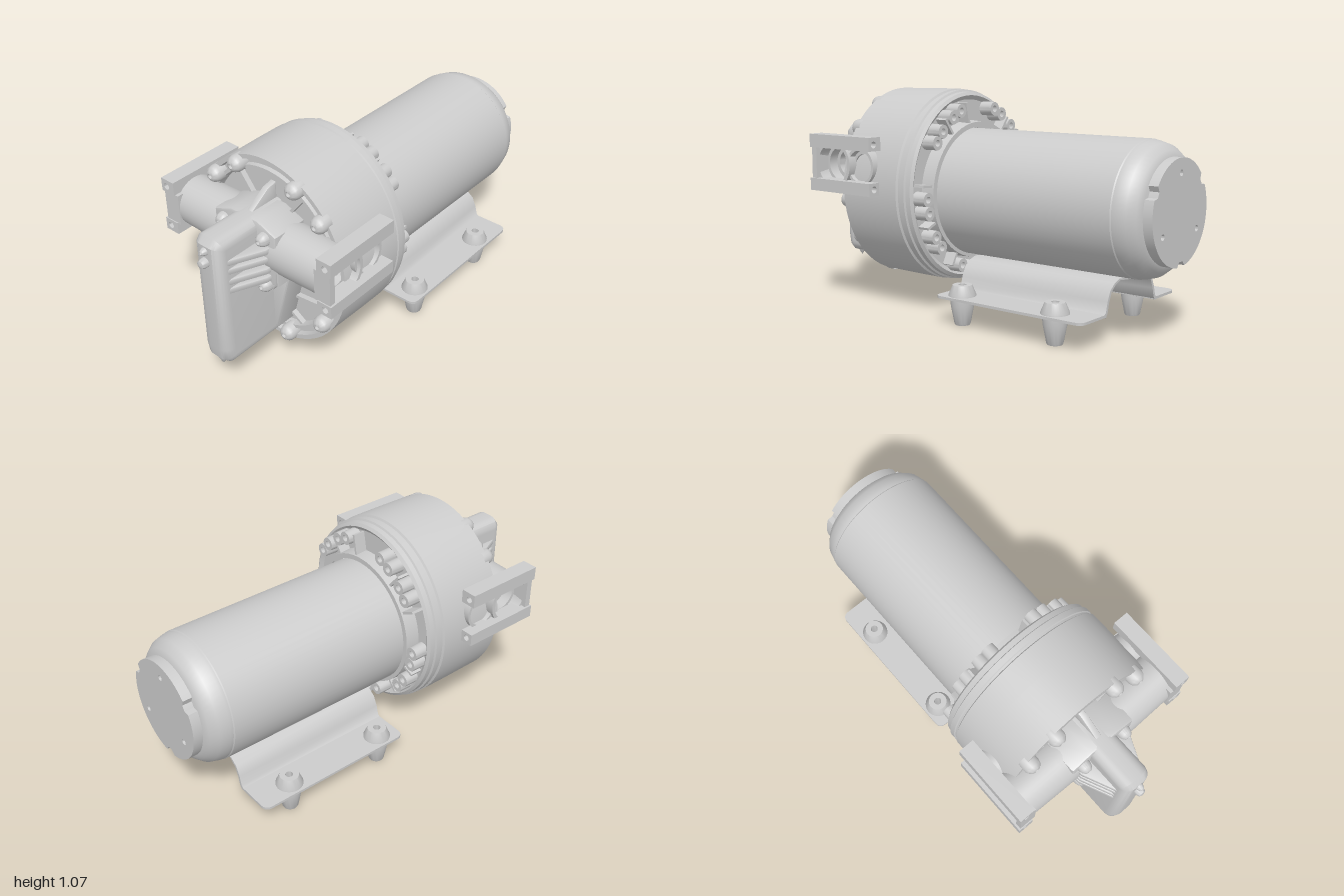
import * as THREE from 'three';
import { toCreasedNormals } from 'three/addons/utils/BufferGeometryUtils.js';

const material = new THREE.MeshStandardMaterial({ color: 0xcccccc, side: THREE.DoubleSide });
const V = (a) => a.map(([x, y]) => new THREE.Vector2(x, y));

export function createModel() {
  const root = new THREE.Group();

  const add = (name, geo, x = 0, y = 0, z = 0, parent = root) => {
    const m = new THREE.Mesh(toCreasedNormals(geo, 0.6), material);
    m.name = name;
    m.position.set(x, y, z);
    parent.add(m);
    return m;
  };
  const box = (w, h, d) => new THREE.BoxGeometry(w, h, d);
  // Lathe along y, or turned so that its axis runs along z
  const lathe = (pts, n = 32) => new THREE.LatheGeometry(V(pts), n);
  const latheZ = (pts, n = 32) => lathe(pts, n).rotateX(Math.PI / 2);
  const extrude = (shape, depth, bevel = 0, segments = 2) => new THREE.ExtrudeGeometry(shape, {
    depth, bevelEnabled: bevel > 0, bevelSize: bevel, bevelThickness: bevel,
    bevelOffset: -bevel, bevelSegments: segments, curveSegments: 16,
  });
  const hole = (shape, x, y, r) => shape.holes.push(new THREE.Path().absarc(x, y, r, 0, Math.PI * 2, true));

  // Motor can with domed rear end
  add('motorBody', latheZ([
    [0, -0.955], [0.235, -0.955], [0.262, -0.94], [0.29, -0.905], [0.302, -0.86],
    [0.302, -0.845], [0.306, -0.84], [0.306, 0.2],
  ], 64), 0, 0.572, 0);

  // Notched end cap with screw holes
  const capPoints = [];
  for (let i = 0; i < 96; i++) {
    const r = i % 32 < 3 ? 0.212 : 0.235;
    const a = (i / 96) * Math.PI * 2 + 0.4;
    capPoints.push([r * Math.cos(a), r * Math.sin(a)]);
  }
  const cap = new THREE.Shape(V(capPoints));
  for (let i = 0; i < 3; i++) {
    const a = Math.PI / 2 + (i * Math.PI * 2) / 3;
    hole(cap, 0.17 * Math.cos(a), 0.17 * Math.sin(a), 0.014);
  }
  add('endCap', extrude(cap, 0.048), 0, 0.572, -1);

  // Oval pump housing with stepped rear rings and recessed front face
  const CY = 0.595, SX = 0.925;
  const housing = latheZ([
    [0.29, 0.17], [0.42, 0.17], [0.44, 0.155], [0.455, 0.165], [0.457, 0.19], [0.466, 0.195],
    [0.466, 0.222], [0.46, 0.226], [0.46, 0.236], [0.47, 0.242], [0.47, 0.37], [0.467, 0.59],
    [0.445, 0.59], [0.44, 0.565], [0.418, 0.565], [0.415, 0.585], [0.398, 0.585],
    [0.392, 0.55], [0, 0.55],
  ], 96);
  housing.scale(SX, 1, 1);
  add('pumpHousing', housing, 0, CY, 0);
  add('motorCollar', latheZ([[0.306, 0.1], [0.33, 0.1], [0.335, 0.18]], 64), 0, 0.58, 0);

  // Front bolts, with matching hollow bosses and ribs on the rear
  const bolt = (name, x, y, z, r) => add(name, latheZ([
    [r, -0.03], [r, 0.012], [r * 0.88, 0.026], [r * 0.55, 0.04], [r * 0.3, 0.043],
    [r * 0.28, 0.03], [0, 0.03],
  ], 20), x, y, z);
  const boss = (x, y) => add('rearBoss', latheZ([
    [0.016, 0.16], [0.016, 0.1], [0.033, 0.1], [0.035, 0.2],
  ], 18), x, y, 0);
  const boltSpots = [
    [0.167, 0.985], [-0.167, 0.985], [0.305, 0.877], [-0.305, 0.877], [0.387, 0.53], [-0.387, 0.53],
    [0.307, 0.342], [-0.307, 0.342], [0.1, 0.177], [-0.1, 0.177], [-0.17, 0.217],
  ];
  boltSpots.forEach(([x, y], i) => {
    bolt('housingBolt', x, y, 0.595, 0.04);
    if (i === 10) return;
    const a = Math.atan2(y - CY, x / SX);
    for (const d of [-0.085, 0.085]) {
      boss(0.395 * SX * Math.cos(a + d), CY + 0.395 * Math.sin(a + d));
    }
    const rib = add('rearRib', box(0.12, 0.012, 0.08), 0.355 * SX * Math.cos(a + 0.24), CY + 0.355 * Math.sin(a + 0.24), 0.15);
    rib.rotation.z = a + 0.24;
  });

  // Raised ribs and round pads on the front face
  const faceRib = (x1, y1, x2, y2) => {
    const rib = add('faceRib', box(Math.hypot(x2 - x1, y2 - y1), 0.014, 0.03), (x1 + x2) / 2, (y1 + y2) / 2, 0.56);
    rib.rotation.z = Math.atan2(y2 - y1, x2 - x1);
  };
  for (const s of [1, -1]) {
    faceRib(s * 0.1, 0.82, s * 0.2, 0.95);
    faceRib(s * 0.08, 0.38, s * 0.345, 0.41);
    faceRib(s * 0.06, 0.3, s * 0.16, 0.235);
    add('facePad', latheZ([[0.105, 0], [0.105, 0.012], [0.095, 0.016], [0, 0.016]], 40), s * 0.155, 0.55, 0.548);
  }

  // Valve block: square upper part and tapering lower part
  const upper = new THREE.Shape(V([
    [-0.178, 0.56], [0.178, 0.56], [0.178, 0.82], [0.075, 0.862], [-0.075, 0.862], [-0.178, 0.82],
  ]));
  add('valveBlock', extrude(upper, 0.16, 0.012), 0, 0, 0.565);
  const lower = new THREE.Shape(V([[-0.09, 0.24], [0.09, 0.24], [0.178, 0.57], [-0.178, 0.57]]));
  add('valveBlockTaper', extrude(lower, 0.1, 0.01), 0, 0, 0.55);

  // Side profiles are drawn in z and y, then extruded across x
  const sideways = (pts, width, bevel, seg) => extrude(new THREE.Shape(V(pts)), width - 2 * bevel, bevel, seg)
    .translate(0, 0, bevel - width / 2).rotateY(-Math.PI / 2);
  add('centreRidge', sideways([
    [0.55, 0.19], [0.925, 0.19], [0.955, 0.22], [0.965, 0.28], [0.965, 0.83], [0.94, 0.863], [0.55, 0.863],
  ], 0.15, 0.05, 6));
  add('topGusset', sideways([[0.55, 0.84], [0.72, 0.84], [0.7, 0.862], [0.6, 0.93], [0.55, 0.94]], 0.03, 0.004));
  for (const z of [0.82, 0.92]) {
    add('drainSpike', lathe([[0, -0.035], [0.008, -0.025], [0.022, 0.005], [0.026, 0.03]], 16), 0, 0.193, z);
  }
  bolt('ridgeScrew', 0, 0.805, 0.945, 0.02);
  add('ridgePin', latheZ([[0.023, -0.02], [0.023, 0.015], [0.018, 0.03], [0, 0.036]], 20), 0, 0.75, 0.965);

  // Gusset fins and screws either side of the ridge
  for (const s of [1, -1]) {
    for (const y of [0.745, 0.7, 0.645, 0.6]) {
      const fin = new THREE.Shape(V([[0.05, -0.7], [s * 0.148, -0.7], [s * 0.145, -0.76], [s * 0.07, -0.925], [s * 0.05, -0.925]]
        .map(([x, z], i) => [i === 0 ? s * x : x, z])));
      add('gussetFin', extrude(fin, 0.018, 0.005).rotateX(-Math.PI / 2), 0, y - 0.009, 0);
    }
    for (const y of [0.795, 0.555]) {
      bolt('blockScrew', s * 0.118, y, 0.735, 0.032);
      add('screwBoss', latheZ([[0.036, 0.56], [0.036, 0.735], [0, 0.735]], 20), s * 0.118, y, 0);
    }
  }

  // Port tubes with stepped bores, and the slide-clip rails around them
  for (const s of [1, -1]) {
    const port = new THREE.Group();
    port.name = s > 0 ? 'leftPort' : 'rightPort';
    root.add(port);
    const along = (pts) => lathe(pts, 40).rotateZ(-s * Math.PI / 2);
    add('portTube', along([
      [0.122, 0.1], [0.122, 0.2], [0.117, 0.42], [0.117, 0.465], [0.1, 0.465], [0.096, 0.41],
      [0.08, 0.41], [0.08, 0.36], [0.062, 0.36], [0.062, 0.28], [0, 0.28],
    ]), 0, 0.705, 0.63, port);
    add('clipSeat', along([
      [0.09, 0.3], [0.09, 0.45], [0.076, 0.45], [0.074, 0.42], [0.058, 0.42], [0.058, 0.38], [0, 0.38],
    ]), 0, 0.705, 0.46, port);
    for (const [y0, y1, hy] of [[0.785, 0.85, 0.815], [0.575, 0.635, 0.605]]) {
      const x0 = Math.min(s * 0.42, s * 0.497), x1 = Math.max(s * 0.42, s * 0.497);
      const rail = new THREE.Shape(V([[x0, y0], [x1, y0], [x1, y1], [x0, y1]]));
      hole(rail, s * 0.465, hy, 0.016);
      add('clipRail', extrude(rail, 0.405), 0, 0, 0.35, port);
    }
    add('clipPlate', box(0.085, 0.155, 0.03), s * 0.445, 0.708, 0.735, port);
  }

  // Saddle sheet cradling the motor
  const half = [[0.225, 0.13], [0.208, 0.145], [0.196, 0.19], [0.175, 0.235], [0.14, 0.262], [0.1, 0.275], [0, 0.264]];
  const outline = [...half, ...half.slice(0, -1).reverse().map(([x, y]) => [-x, y])];
  const inner = outline.map(([x, y]) => [x * 0.94, y - 0.008]).reverse();
  add('baseSaddle', extrude(new THREE.Shape(V([...outline, ...inner])), 0.81), 0, 0, -0.77);

  // Base flanges with rounded outer corners, on hollow rubber feet
  for (const s of [1, -1]) {
    const f = new THREE.Shape();
    f.moveTo(s * 0.205, -0.04);
    f.lineTo(s * 0.355, -0.04);
    f.quadraticCurveTo(s * 0.395, -0.04, s * 0.395, 0);
    f.lineTo(s * 0.395, 0.73);
    f.quadraticCurveTo(s * 0.395, 0.77, s * 0.355, 0.77);
    f.lineTo(s * 0.205, 0.77);
    for (const z of [-0.065, -0.585]) hole(f, s * 0.32, -z, 0.03);
    add('baseFlange', extrude(f, 0.012).rotateX(-Math.PI / 2), 0, 0.124, 0);
    for (const z of [-0.065, -0.585]) {
      add('rubberFoot', lathe([
        [0.018, 0.187], [0.018, 0.01], [0.022, 0], [0.034, 0], [0.038, 0.008], [0.054, 0.09], [0.056, 0.122],
        [0.064, 0.126], [0.064, 0.142], [0.045, 0.187], [0.018, 0.187],
      ], 32), s * 0.32, 0, z);
    }
  }

  return root;
}
